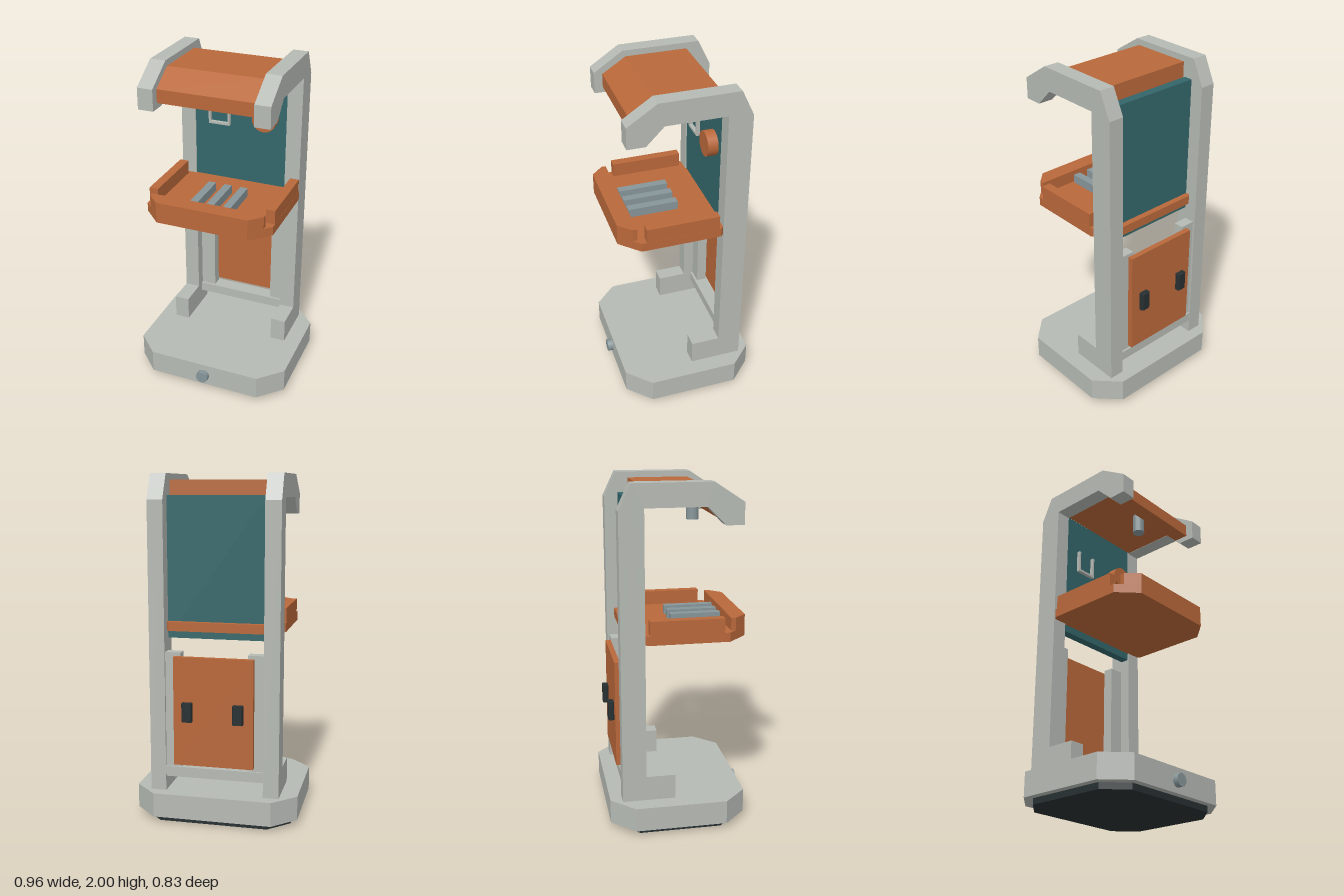
import * as THREE from 'three';

const mat = (name, color) => {
  const m = new THREE.MeshStandardMaterial({ color });
  m.name = name;
  return m;
};

export function createModel() {
  const grey = mat('light grey', 0xb6bab4);
  const orange = mat('orange', 0xb9683a);
  const teal = mat('teal', 0x33666a);
  const dark = mat('charcoal', 0x283032);
  const steel = mat('steel', 0x87969a);

  const model = new THREE.Group();
  model.name = 'workstation';

  const add = (name, geometry, material) => {
    const mesh = new THREE.Mesh(geometry, material);
    mesh.name = name;
    model.add(mesh);
    return mesh;
  };

  // Box given by its limits on each axis
  const box = (name, material, x0, x1, y0, y1, z0, z1) => {
    const g = new THREE.BoxGeometry(x1 - x0, y1 - y0, z1 - z0);
    g.translate((x0 + x1) / 2, (y0 + y1) / 2, (z0 + z1) / 2);
    return add(name, g, material);
  };

  const shapeOf = (pts) => new THREE.Shape(pts.map(([a, b]) => new THREE.Vector2(a, b)));
  const extrude = (pts, depth) =>
    new THREE.ExtrudeGeometry(shapeOf(pts), { depth, bevelEnabled: false });

  // Horizontal slab from an [x, z] outline
  const slab = (name, material, pts, y0, y1) => {
    const g = extrude(pts.map(([x, z]) => [x, -z]), y1 - y0);
    g.rotateX(-Math.PI / 2).translate(0, y0, 0);
    return add(name, g, material);
  };

  // Side profile of [z, y] points, extruded across x
  const profile = (name, material, pts, x0, x1) => {
    const g = extrude(pts, x1 - x0);
    g.rotateY(-Math.PI / 2).translate(x1, 0, 0);
    return add(name, g, material);
  };

  // Rectangle with its corners cut by c
  const cutRect = (x0, x1, z0, z1, c) => [
    [x0 + c, z0], [x1 - c, z0], [x1, z0 + c], [x1, z1 - c],
    [x1 - c, z1], [x0 + c, z1], [x0, z1 - c], [x0, z0 + c],
  ];

  // Base, foot pad and front knob
  slab('footPad', dark, cutRect(-0.436, 0.436, -0.373, 0.343, 0.12), 0, 0.04);
  slab('base', grey, cutRect(-0.478, 0.478, -0.415, 0.383, 0.133), 0.036, 0.178);
  const knob = new THREE.CylinderGeometry(0.038, 0.038, 0.05, 10);
  knob.rotateX(Math.PI / 2).translate(0, 0.104, 0.39);
  add('frontKnob', knob, steel);

  // Side frames: foot, post and overhanging arm in one profile
  const frame = [
    [-0.345, 0.17], [-0.035, 0.17], [-0.035, 0.325], [-0.206, 0.325],
    [-0.206, 1.868], [0.138, 1.868], [0.238, 1.767], [0.34, 1.767],
    [0.34, 1.89], [0.172, 2.0], [-0.275, 2.0], [-0.345, 1.855],
  ];
  profile('leftFrame', grey, frame, 0.287, 0.378);
  profile('rightFrame', grey, frame, -0.378, -0.287);

  // Canopy with its lamp
  profile('canopy', orange, [
    [-0.202, 1.87], [0.135, 1.87], [0.205, 1.8], [0.292, 1.8],
    [0.292, 1.878], [0.155, 1.965], [-0.202, 1.965],
  ], -0.287, 0.287);
  const lamp = new THREE.CylinderGeometry(0.036, 0.036, 0.13, 16);
  lamp.translate(0, 1.816, 0.132);
  add('lamp', lamp, steel);

  // Back panel with its round dial and U-shaped bracket
  box('backPanel', teal, -0.287, 0.287, 1.073, 1.88, -0.265, -0.213);
  const dial = new THREE.CylinderGeometry(0.073, 0.073, 0.064, 24);
  dial.rotateX(Math.PI / 2).translate(0.165, 1.602, -0.185);
  add('dial', dial, orange);
  const bracket = extrude([
    [-0.195, 1.52], [-0.062, 1.52], [-0.062, 1.66], [-0.075, 1.66],
    [-0.075, 1.534], [-0.182, 1.534], [-0.182, 1.66], [-0.195, 1.66],
  ], 0.026);
  bracket.translate(0, 0, -0.217);
  add('bracket', bracket, grey);

  // Tray with rims and slats
  slab('tray', orange, cutRect(-0.385, 0.385, -0.3, 0.383, 0.11), 1.117, 1.17);
  for (const [side, s] of [['left', 1], ['right', -1]]) {
    const a = s * 0.33, b = s * 0.384;
    box(side + 'TrayRim', orange, Math.min(a, b), Math.max(a, b), 1.17, 1.253, -0.18, 0.242);
  }
  slab('frontTrayRim', orange, [
    [-0.344, 0.286], [0.344, 0.286], [0.344, 0.313],
    [0.275, 0.383], [-0.275, 0.383], [-0.344, 0.313],
  ], 1.17, 1.243);
  for (const x of [-0.1, 0, 0.1]) {
    box('traySlat', steel, x - 0.023, x + 0.023, 1.165, 1.222, -0.02, 0.275);
  }

  // Lower crossbar, door rails, door and handles
  box('crossbar', grey, -0.287, 0.287, 0.265, 0.325, -0.343, -0.255);
  box('door', orange, -0.232, 0.232, 0.345, 0.98, -0.363, -0.331);
  for (const [side, s] of [['left', 1], ['right', -1]]) {
    const a = s * 0.195, b = s * 0.287;
    box(side + 'DoorRail', grey, Math.min(a, b), Math.max(a, b), 0.325, 1.0, -0.331, -0.27);
    const x = s * 0.148;
    slab(side + 'Handle', dark, cutRect(x - 0.03, x + 0.03, -0.397, -0.362, 0.007), 0.61, 0.72);
  }

  return model;
}
